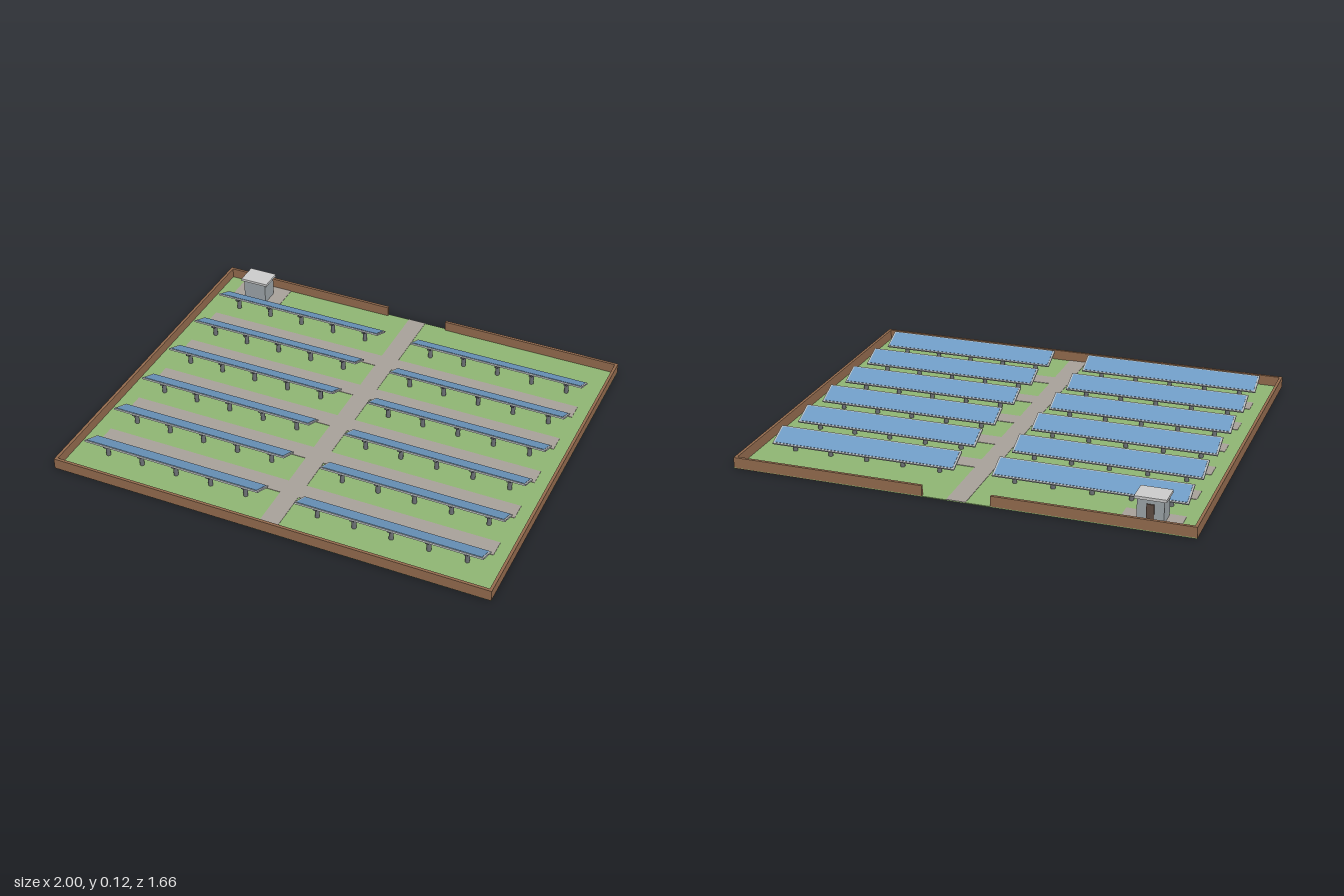
import * as THREE from 'three';

const mat = (color) => new THREE.MeshStandardMaterial({ color });
const M = {
  grass: mat(0x8fb573), path: mat(0xa8a19a), fence: mat(0x936b4e),
  frame: mat(0xb4b8ba), cells: mat(0x6f9bc4), steel: mat(0x6c7074),
  wall: mat(0x9ca4a8), roof: mat(0xd8d8d4), door: mat(0x5e4c42),
};

// Box given by its ranges on x, y and z
function box(parent, name, material, [x0, x1], [y0, y1], [z0, z1]) {
  const mesh = new THREE.Mesh(new THREE.BoxGeometry(x1 - x0, y1 - y0, z1 - z0), material);
  mesh.position.set((x0 + x1) / 2, (y0 + y1) / 2, (z0 + z1) / 2);
  mesh.name = name;
  parent.add(mesh);
  return mesh;
}

const TILT = THREE.MathUtils.degToRad(24);
const DEPTH = 0.107, LENGTH = 0.833;
const postGeometry = new THREE.CylinderGeometry(0.01, 0.01, 0.054, 12);

// One tilted panel table on five posts, high edge towards +z
function createTable() {
  const table = new THREE.Group();
  table.name = 'solarTable';

  const panel = new THREE.Group();
  panel.name = 'tiltedPanel';
  panel.position.y = 0.066;
  panel.rotation.x = -TILT;
  const hx = LENGTH / 2, hz = DEPTH / 2;
  box(panel, 'panelFrame', M.frame, [-hx, hx], [-0.004, 0.003], [-hz, hz]);
  box(panel, 'panelCells', M.cells, [-hx + 0.008, hx - 0.008], [0, 0.0045], [-hz + 0.007, hz - 0.007]);
  table.add(panel);

  for (let i = -2; i <= 2; i++) {
    const x = i / 6;
    const post = new THREE.Mesh(postGeometry, M.steel);
    post.name = 'post';
    post.position.set(x, 0.028, 0);
    table.add(post);
    // Bracket lying along the slope below the panel
    const bracket = box(table, 'bracket', M.steel, [x - 0.008, x + 0.008], [0.051, 0.057], [-0.025, 0.025]);
    bracket.rotation.x = -TILT * 0.4;
  }
  return table;
}

// Small service hut with an overhanging roof and a door at the back
function createHut() {
  const hut = new THREE.Group();
  hut.name = 'hut';
  box(hut, 'hutWalls', M.wall, [-0.056, 0.056], [0.004, 0.105], [-0.045, 0.045]);
  box(hut, 'hutRoof', M.roof, [-0.067, 0.067], [0.104, 0.116], [-0.052, 0.052]);
  box(hut, 'hutDoor', M.door, [-0.016, 0.016], [0.006, 0.086], [-0.05, -0.044]);
  hut.position.set(-0.793, 0, -0.72);
  return hut;
}

export function createModel() {
  const model = new THREE.Group();
  model.name = 'solarField';
  const W = 1, D = 0.832, T = 0.013, H = 0.05;

  box(model, 'ground', M.grass, [-W, W], [0, 0.004], [-D, D]);

  // Gravel paths: the central lane, cross lanes on both sides and the hut pad
  const level = [0.002, 0.006];
  box(model, 'centralPath', M.path, [-0.042, 0.042], level, [-D, D - T]);
  for (let i = 0; i < 5; i++) {
    const z = -0.5 + i * 0.25;
    for (const [x0, x1] of [[-0.917, -0.042], [0.042, 0.917]]) {
      box(model, 'crossPath', M.path, [x0, x1], level, [z, z + 0.083]);
    }
  }
  box(model, 'hutPad', M.path, [-0.917, -0.667], level, [-D + T, -0.665]);

  // Boundary walls with a gateway in the back
  const height = [0, H];
  box(model, 'frontWall', M.fence, [-W, W], height, [D - T, D]);
  box(model, 'leftWall', M.fence, [W - T, W], height, [-D, D - T]);
  box(model, 'rightWall', M.fence, [-W, -W + T], height, [-D, D - T]);
  box(model, 'backWallLeft', M.fence, [0.148, W - T], height, [-D, -D + T]);
  box(model, 'backWallRight', M.fence, [-W + T, -0.148], height, [-D, -D + T]);

  // Six rows of panel tables on each side of the lane
  for (let row = 0; row < 6; row++) {
    for (const side of [-1, 1]) {
      const table = createTable();
      table.position.set(side * 0.5, 0, -0.587 + row * 0.2495);
      model.add(table);
    }
  }

  model.add(createHut());
  return model;
}
